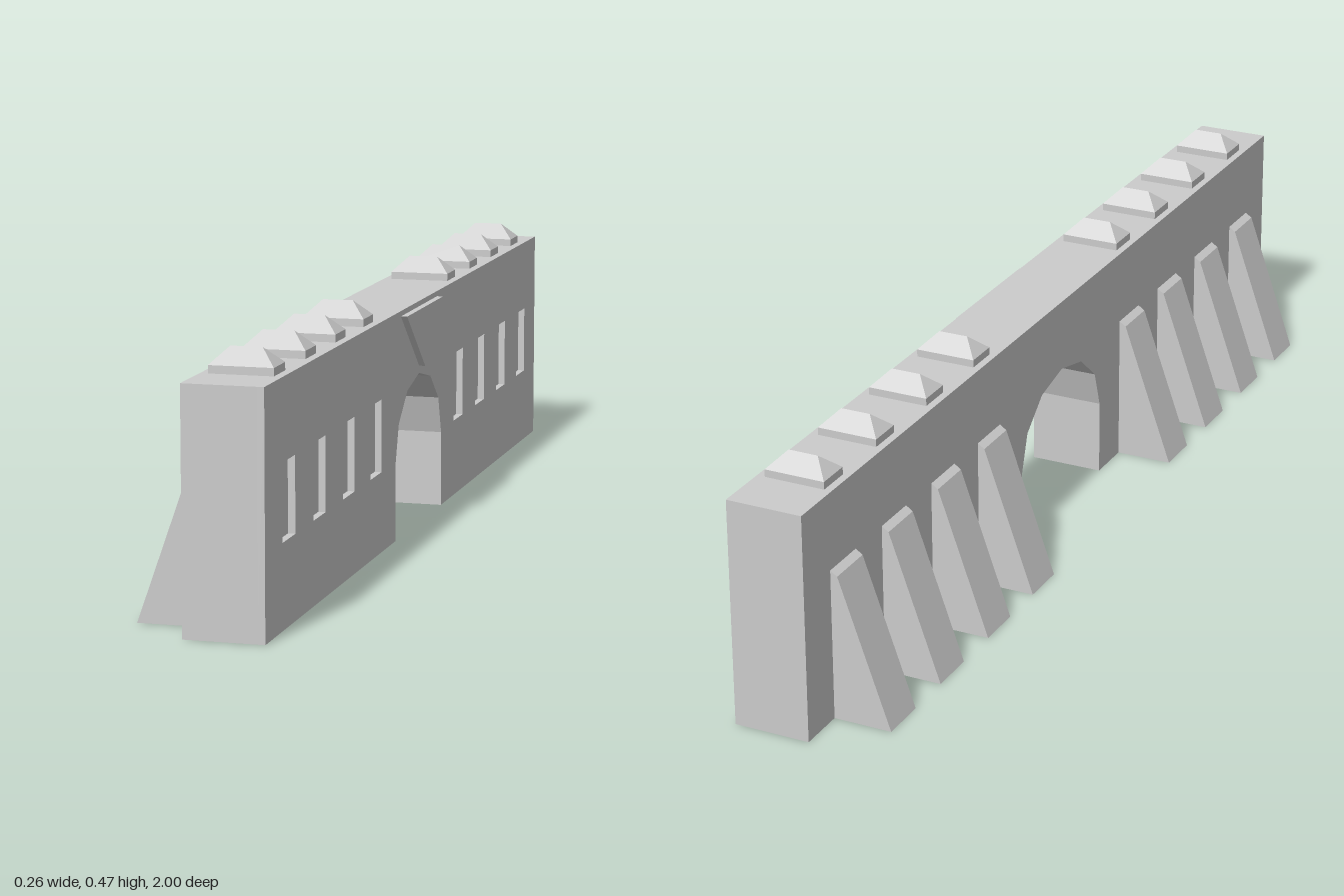
import * as THREE from 'three';

const material = new THREE.MeshStandardMaterial({ color: 0xcccccc, flatShading: true });

const BACK = -0.023, FRONT = 0.12, HEIGHT = 0.428;
const RECESS = 0.013;
const BAYS = [0.31, 0.494, 0.68, 0.864].flatMap((z) => [z, -z]);

function addMesh(parent, name, geometry, x = 0, y = 0, z = 0) {
  const mesh = new THREE.Mesh(geometry, material);
  mesh.name = name;
  mesh.position.set(x, y, z);
  parent.add(mesh);
  return mesh;
}

const shapeOf = (points) => new THREE.Shape(points.map(([a, b]) => new THREE.Vector2(a, b)));

const extrude = (shape, depth) => new THREE.ExtrudeGeometry(shape, { depth, bevelEnabled: false });

// Extrudes an elevation drawn along the wall through its thickness, from x0 to x1
const slab = (shape, x0, x1) => extrude(shape, x1 - x0).rotateY(Math.PI / 2).translate(x0, 0, 0);

// Wall elevation with a faceted gateway arch
function wallShape() {
  const points = [[-1, 0]];
  points.push([-0.173, 0]);
  for (let i = 0; i <= 6; i++) {
    const a = Math.PI * (1 - i / 6);
    points.push([0.173 * Math.cos(a), 0.145 + 0.145 * Math.sin(a)]);
  }
  points.push([0.173, 0], [1, 0], [1, HEIGHT], [-1, HEIGHT]);
  return shapeOf(points);
}

// Hipped roof: a box whose top closes to a ridge along x
function hipRoof(width, height, depth, ridge) {
  const geometry = new THREE.BoxGeometry(width, height, depth).toNonIndexed();
  const p = geometry.attributes.position;
  for (let i = 0; i < p.count; i++) {
    if (p.getY(i) > 0) p.setXYZ(i, Math.sign(p.getX(i)) * ridge / 2, p.getY(i), 0);
  }
  geometry.computeVertexNormals();
  return geometry;
}

export function createModel() {
  const model = new THREE.Group();
  model.name = 'gatewayWall';

  // Wall core, and a facing layer cut with blind windows
  addMesh(model, 'wallCore', slab(wallShape(), BACK, FRONT - RECESS));
  const facing = wallShape();
  for (const z of BAYS) {
    const [l, r, b, t] = [z - 0.038, z + 0.038, 0.15, 0.285];
    facing.holes.push(shapeOf([[l, b], [l, t], [r, t], [r, b]]));
  }
  addMesh(model, 'windowFacing', slab(facing, FRONT - RECESS, FRONT));

  // Triangular panel above the arch
  const triangle = shapeOf([[0, 0.304], [0.136, 0.418], [-0.136, 0.418]]);
  addMesh(model, 'archPanel', slab(triangle, FRONT, 0.132));

  // Sloping buttresses behind and hipped merlons on top, one per bay
  const buttress = extrude(
    shapeOf([[-0.133, 0], [BACK, 0], [BACK, 0.285], [-0.036, 0.276]]), 0.09,
  ).translate(0, 0, -0.045);
  const merlonBase = new THREE.BoxGeometry(0.114, 0.014, 0.065);
  const merlonRoof = hipRoof(0.114, 0.029, 0.065, 0.056);
  for (const z of BAYS) {
    addMesh(model, 'buttress', buttress, 0, 0, z);
    const merlon = new THREE.Group();
    merlon.name = 'merlon';
    merlon.position.set(0.048, HEIGHT, z);
    addMesh(merlon, 'merlonBase', merlonBase, 0, 0.007, 0);
    addMesh(merlon, 'merlonRoof', merlonRoof, 0, 0.0285, 0);
    model.add(merlon);
  }
  return model;
}
